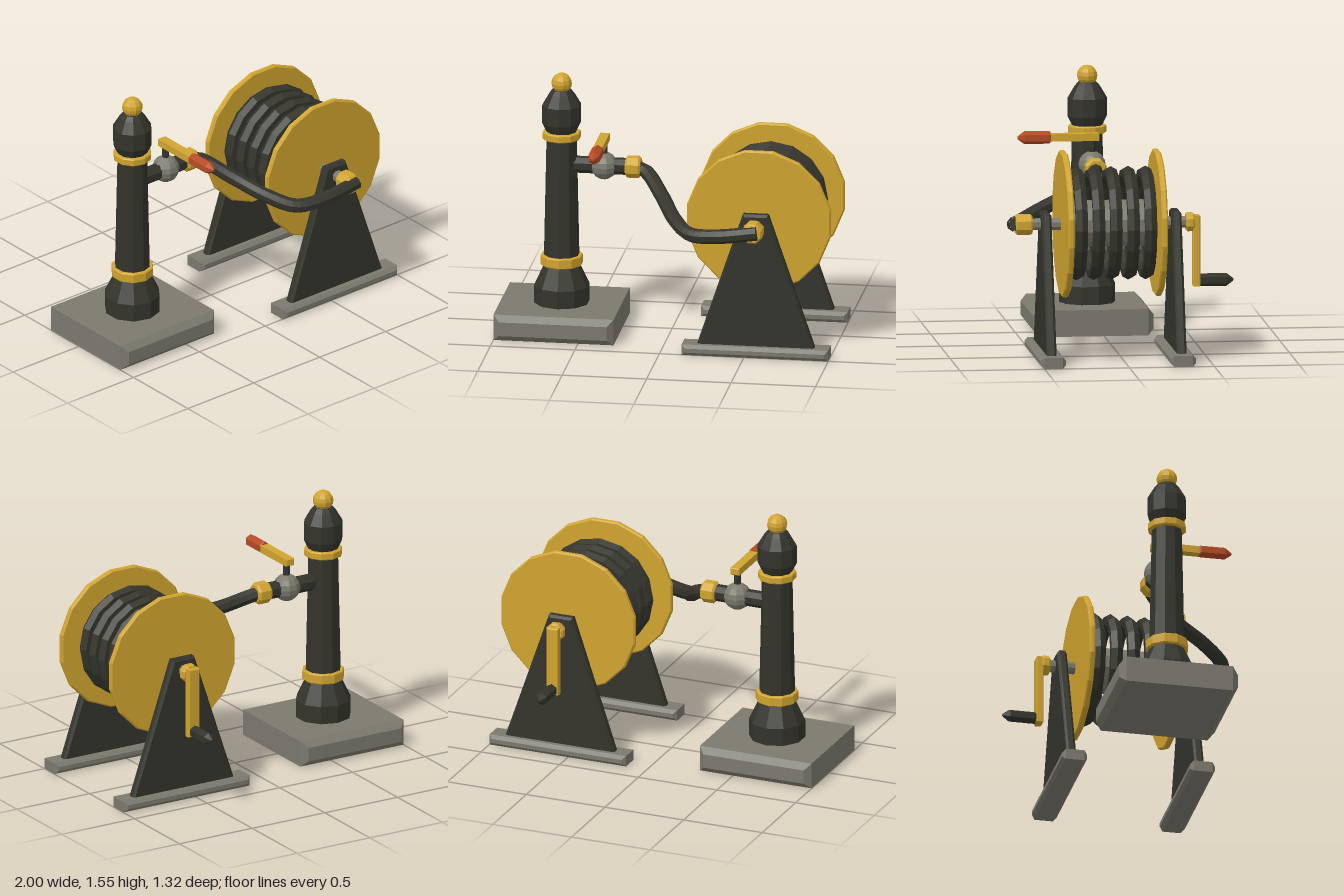
import * as THREE from 'three';

const mat = (name, color) => {
  const m = new THREE.MeshStandardMaterial({ color });
  m.name = name;
  return m;
};

export function createModel() {
  const root = new THREE.Group();
  root.name = 'hoseReelAndStandpipe';
  const iron = mat('darkIron', 0x34342c);
  const brass = mat('brass', 0xd0a42e);
  const stone = mat('greyStone', 0x7c7a6e);
  const red = mat('redGrip', 0xb54a24);

  // Faceted mesh: every face keeps its own normal
  const add = (name, geo, material, x = 0, y = 0, z = 0, parent = root) => {
    const g = geo.index ? geo.toNonIndexed() : geo;
    g.computeVertexNormals();
    const m = new THREE.Mesh(g, material);
    m.name = name;
    m.position.set(x, y, z);
    parent.add(m);
    return m;
  };
  // Turned part from [radius, height] pairs, closed at both ends, along an axis
  const turned = (pts, sides, axis = 'y', phi = 0) => {
    const p = [[0, pts[0][1]], ...pts, [0, pts[pts.length - 1][1]]];
    const g = new THREE.LatheGeometry(p.map(([r, h]) => new THREE.Vector2(r, h)), sides, phi);
    if (axis === 'z') g.rotateX(Math.PI / 2);
    if (axis === 'x') g.rotateZ(-Math.PI / 2);
    return g;
  };
  // Centred disc or nut with chamfered rims
  const nut = (r, len, c, sides, axis, phi) => turned(
    [[r - c, -len / 2], [r, -len / 2 + c], [r, len / 2 - c], [r - c, len / 2]], sides, axis, phi);
  // Plate extruded along z with a chamfer b, centred on z = 0
  const plate = (corners, depth, b) => {
    const shape = new THREE.Shape(corners.map(([x, y]) => new THREE.Vector2(x, y)));
    const g = new THREE.ExtrudeGeometry(shape, {
      depth: depth - 2 * b, bevelEnabled: true, bevelSize: b, bevelThickness: b, bevelSegments: 1 });
    return g.translate(0, 0, b - depth / 2);
  };
  const slab = (w, h, d, b) => {
    const x = w / 2 - b, y = h / 2 - b;
    return plate([[-x, -y], [x, -y], [x, y], [-x, y]], d, b);
  };

  // Standpipe
  const px = -0.645, pz = 0.06;
  const stand = new THREE.Group();
  stand.name = 'standpipe';
  root.add(stand);
  add('plinth', slab(0.71, 0.156, 0.71, 0.036), stone, px, 0.078, pz, stand);
  add('column', turned([[0.165, 0.15], [0.165, 0.262], [0.107, 0.385], [0.105, 0.45], [0.09, 1.16],
    [0.09, 1.2], [0.116, 1.255], [0.116, 1.362], [0.076, 1.43], [0.055, 1.455]], 10), iron, px, 0, pz, stand);
  add('lowerCollar', nut(0.126, 0.062, 0.006, 10), brass, px, 0.416, pz, stand);
  add('upperCollar', nut(0.114, 0.046, 0.006, 10), brass, px, 1.178, pz, stand);
  add('finial', new THREE.SphereGeometry(0.061, 10, 8), brass, px, 1.494, pz, stand);

  // Outlet pipe and valve
  const vx = -0.393;
  const valve = new THREE.Group();
  valve.name = 'valve';
  root.add(valve);
  add('outletPipe', turned([[0.05, -0.62], [0.05, -0.23]], 8, 'x', Math.PI / 8), iron, 0, 1, pz, valve);
  add('valveBody', new THREE.SphereGeometry(0.082, 10, 8), stone, vx, 1, pz, valve);
  add('valveStem', turned([[0.021, 1.05], [0.021, 1.16]], 6), iron, vx, 0, pz, valve);
  add('valveLever', slab(0.055, 0.044, 0.3, 0.005), brass, vx, 1.166, 0.168, valve);
  const grip = (len, tip) => turned(
    [[0.032, 0], [0.038, 0.01], [0.038, len - tip], [0.008, len]], 6, 'z');
  add('leverGrip', grip(0.195, 0.04), red, vx, 1.167, 0.305, valve);
  add('outletCoupling', nut(0.066, 0.09, 0.012, 8, 'x', Math.PI / 8), brass, -0.22, 1, pz, valve);

  // Hose from the valve to the reel hub
  const path = new THREE.CatmullRomCurve3([
    [-0.22, 1, 0.06], [-0.15, 0.985, 0.075], [-0.025, 0.885, 0.235], [0.08, 0.805, 0.43],
    [0.19, 0.758, 0.555], [0.36, 0.768, 0.607], [0.595, 0.803, 0.62],
  ].map((p) => new THREE.Vector3(...p)));
  add('hose', new THREE.TubeGeometry(path, 28, 0.043, 8), iron);
  const end = add('hoseEnd', new THREE.CircleGeometry(0.043, 8), iron, 0.595, 0.803, 0.62);
  end.lookAt(new THREE.Vector3(0.595, 0.803, 0.62).add(path.getTangent(1)));

  // Reel
  const rx = 0.565, ry = 0.795, rz = 0.064;
  const reel = new THREE.Group();
  reel.name = 'reel';
  reel.position.set(rx, ry, 0);
  root.add(reel);
  add('drum', turned([[0.137, -0.21], [0.137, 0.34]], 12, 'z', Math.PI / 12), stone, 0, 0, 0, reel);
  add('axle', turned([[0.036, -0.4], [0.036, 0.56]], 8, 'z', Math.PI / 8), stone, 0, 0, 0, reel);
  for (const side of [-1, 1]) {
    add(side > 0 ? 'frontFlange' : 'rearFlange', nut(0.433, 0.036, 0.008, 16, 'z', Math.PI / 16),
      brass, 0, 0, rz + side * 0.275, reel);
  }
  for (let i = -2; i <= 2; i++) {
    add('hoseCoil', new THREE.TorusGeometry(0.296, 0.04, 6, 16), iron, 0, 0, rz - 0.003 + i * 0.102, reel);
  }
  add('hubCoupling', nut(0.063, 0.1, 0.01, 8, 'z', Math.PI / 8), brass, 0, 0, 0.574, reel);
  add('crankCollar', nut(0.058, 0.05, 0.01, 8, 'z', Math.PI / 8), brass, 0, 0, -0.405, reel);

  // Crank
  add('crankArm', slab(0.075, 0.42, 0.044, 0.006), brass, 0, -0.17, -0.442, reel);
  const handle = add('crankHandle', grip(0.2, 0.04), iron, 0, -0.345, -0.46, reel);
  handle.rotation.y = Math.PI;

  // Side frames and feet
  for (const side of [-1, 1]) {
    const z = rz + side * 0.383;
    const stem = side > 0 ? 'front' : 'rear';
    add(stem + 'Frame', plate([[0.225, 0.05], [0.905, 0.05], [0.628, 0.853], [0.498, 0.853]], 0.058, 0.014),
      iron, 0, 0, z);
    add(stem + 'Foot', slab(0.867, 0.065, 0.15, 0.02), stone, rx, 0.0325, z);
  }
  return root;
}
